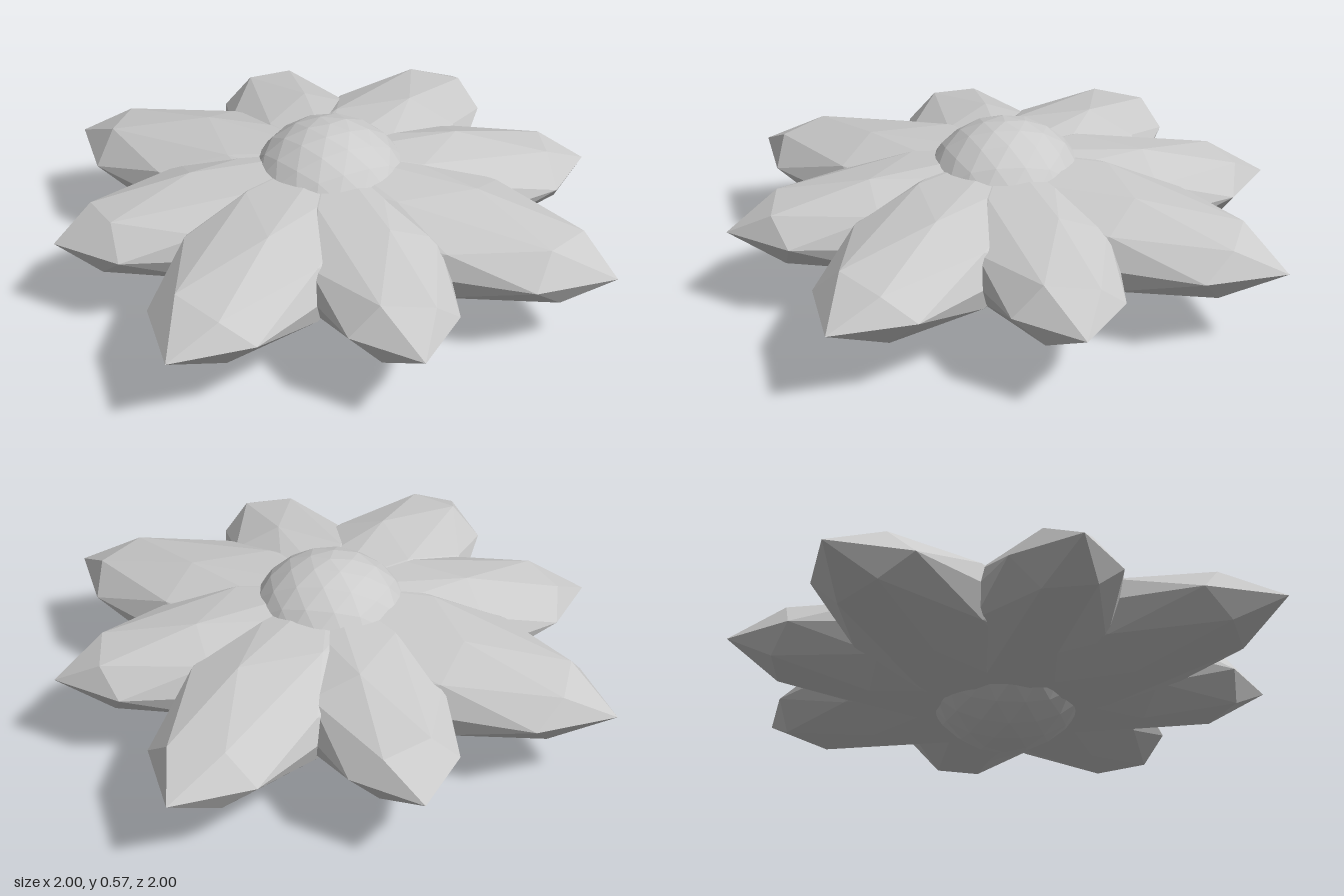
import * as THREE from 'three';

const material = new THREE.MeshStandardMaterial({ color: 0xcccccc, flatShading: true });
const CENTRE_Y = 0.285;

// Faceted sphere with one original corner pointing straight up
function poleUpSphere(detail) {
  const tilt = Math.atan(2 / (1 + Math.sqrt(5)));
  return new THREE.IcosahedronGeometry(1, detail).rotateZ(-tilt);
}

function addPart(parent, geometry, name) {
  const mesh = new THREE.Mesh(geometry, material);
  mesh.name = name;
  parent.add(mesh);
  return mesh;
}

export function createModel() {
  const flower = new THREE.Group();
  flower.name = 'flower';

  // Each long ellipsoid crosses the middle and forms two opposite petals
  const petals = new THREE.Group();
  petals.name = 'petals';
  flower.add(petals);
  for (let i = 0; i < 4; i++) {
    const diagonal = i % 2 === 1;
    const reach = diagonal ? 0.92 : 1;
    const geometry = poleUpSphere(1).scale(0.323 * reach, 0.182, reach);
    const pair = addPart(petals, geometry, diagonal ? 'diagonalPetalPair' : 'mainPetalPair');
    pair.rotation.y = (i * Math.PI) / 4;
    pair.position.y = CENTRE_Y;
  }

  // Round flower centre
  const centre = addPart(flower, poleUpSphere(3).scale(0.285, 0.285, 0.285), 'flowerCentre');
  centre.position.y = CENTRE_Y;

  return flower;
}
